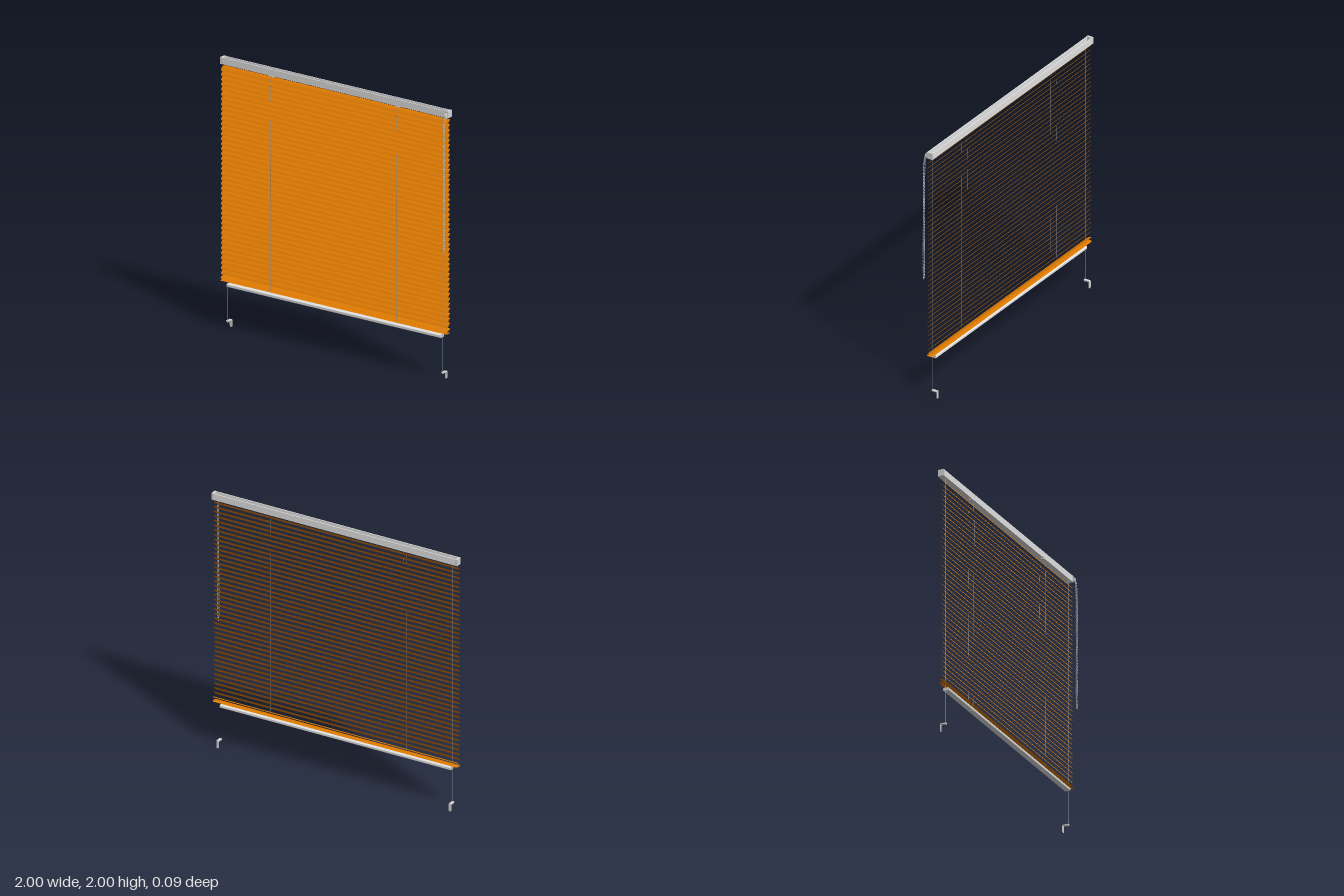
import * as THREE from 'three';
import { mergeGeometries } from 'three/addons/utils/BufferGeometryUtils.js';

export function createModel() {
  const root = new THREE.Group();
  root.name = 'venetianBlind';
  const material = (name, color, side = THREE.FrontSide) => {
    const m = new THREE.MeshStandardMaterial({ color, side });
    m.name = name;
    return m;
  };
  const orange = material('slatOrange', 0xe27c00, THREE.DoubleSide);
  const aluminium = material('aluminium', 0xe6e6e6);
  const plastic = material('greyPlastic', 0xd6d6d6);
  const cordGrey = material('cordGrey', 0x8a96a6);
  const chainGrey = material('chainGrey', 0xbcc3cb);

  const add = (name, geometry, mat, x = 0, y = 0, z = 0, parent = root) => {
    const mesh = new THREE.Mesh(geometry, mat);
    mesh.name = name;
    mesh.position.set(x, y, z);
    parent.add(mesh);
    return mesh;
  };
  const box = (name, mat, w, h, d, x, y, z, parent) =>
    add(name, new THREE.BoxGeometry(w, h, d), mat, x, y, z, parent);
  const curve = points => new THREE.CatmullRomCurve3(points.map(q => new THREE.Vector3(...q)));

  // Extrudes a (z, y) profile along x, centred
  const extrudeX = (points, length) => {
    const shape = new THREE.Shape(points.map(([z, y]) => new THREE.Vector2(-z, y)));
    return new THREE.ExtrudeGeometry(shape, { depth: length, bevelEnabled: false })
      .translate(0, 0, -length / 2).rotateY(Math.PI / 2);
  };

  // Head rail: open channel with inward lips
  add('headRail', extrudeX([
    [-0.034, 1.95], [0.012, 1.95], [0.012, 1.999], [0.006, 1.999], [0.006, 1.996],
    [0.009, 1.996], [0.009, 1.953], [-0.031, 1.953], [-0.031, 1.996], [-0.028, 1.996],
    [-0.028, 1.999], [-0.034, 1.999]], 1.97), aluminium);
  for (const s of [-1, 1]) box('endCap', plastic, 0.018, 0.05, 0.047, s * 0.991, 1.975, -0.011);

  // Slats: thin crowned strips with rounded ends
  const halfDepth = 0.0235, slatZ = -0.004;
  const slatGeometry = new THREE.PlaneGeometry(2, 2, 1, 10).rotateX(-Math.PI / 2);
  const p = slatGeometry.attributes.position;
  for (let i = 0; i < p.count; i++) {
    const v = p.getZ(i);
    const corner = Math.max(0, (Math.abs(v) - 0.5) / 0.5);
    const end = 0.997 - 0.011 * (1 - Math.sqrt(Math.max(0, 1 - corner * corner)));
    p.setXYZ(i, Math.sign(p.getX(i)) * end, 0.003 * (1 - v * v) - 0.0015, v * halfDepth);
  }
  slatGeometry.computeVertexNormals();
  const slats = new THREE.Group();
  slats.name = 'slats';
  root.add(slats);
  const count = 43, pitch = 0.0367, tilt = 0.81;
  for (let i = 0; i < count; i++) {
    const slat = add('slat', slatGeometry, orange, 0, 1.918 - i * pitch, slatZ, slats);
    slat.rotation.x = i === count - 1 ? 0.42 : tilt;
  }
  add('lowestSlat', slatGeometry, orange, 0, 0.352, slatZ, slats);

  // Bottom rail with chamfered edges and end caps
  const railProfile = [[-0.021, 0.314], [0.017, 0.314], [0.019, 0.318], [0.019, 0.332],
    [0.014, 0.337], [-0.018, 0.337], [-0.024, 0.332], [-0.024, 0.318]];
  add('bottomRail', extrudeX(railProfile, 1.864), aluminium);
  for (const s of [-1, 1]) add('bottomRailCap', extrudeX(railProfile, 0.006), plastic, s * 0.935);

  // Ladder cords, fine at the back, and their clips
  for (const s of [-1, 1]) {
    const x = s * 0.553;
    const ladder = new THREE.Group();
    ladder.name = 'ladderCords';
    root.add(ladder);
    for (const [side, z, radius] of [['front', 0.02, 0.0011], ['back', -0.023, 0.0005]]) {
      const path = curve([[x, 1.953, 0], [x, 1.925, z * 0.65], [x, 1.87, z], [x, 1.2, z],
        [x, 0.38, z], [x, 0.35, z * 0.9], [x, 0.334, z * 0.4]]);
      add(side + 'LadderCord', new THREE.TubeGeometry(path, 48, radius, 5), cordGrey, 0, 0, 0, ladder);
    }
    box('cordClip', plastic, 0.032, 0.008, 0.026, x, 1.947, 0.002, ladder);
    box('cordPlug', plastic, 0.02, 0.004, 0.018, x, 0.313, 0, ladder);
  }

  // Side guide wires with angled brackets at the foot
  for (const s of [-1, 1]) {
    const guide = new THREE.Group();
    guide.name = 'sideGuide';
    guide.position.x = s * 0.944;
    root.add(guide);
    add('guideWire', new THREE.CylinderGeometry(0.0018, 0.0018, 1.9, 8), cordGrey, 0, 1.003, -0.002, guide);
    box('bracketArm', plastic, 0.02, 0.008, 0.044, 0, 0.056, -0.019, guide);
    box('bracketPlate', plastic, 0.02, 0.046, 0.004, 0, 0.033, -0.041, guide);
    add('bracketFoot', new THREE.CylinderGeometry(0.01, 0.01, 0.004, 16, 1).rotateX(Math.PI / 2),
      plastic, 0, 0.01, -0.041, guide);
    add('wireStop', new THREE.CylinderGeometry(0.007, 0.007, 0.014, 12), plastic, 0, 0.054, -0.002, guide);
    add('bracketScrew', new THREE.CylinderGeometry(0.004, 0.004, 0.003, 10).rotateX(Math.PI / 2),
      aluminium, 0, 0.026, -0.038, guide);
  }

  // Chain outlet on the head rail
  add('chainOutlet', extrudeX([[0.012, 1.952], [0.028, 1.952], [0.034, 1.962],
    [0.03, 1.978], [0.012, 1.985]], 0.014), plastic, 0.989);

  // Looped bead chain
  const loop = curve([
    [0.982, 1.965, 0.026], [0.982, 1.93, 0.036], [0.983, 1.85, 0.04], [0.984, 1.45, 0.042],
    [0.984, 1.0, 0.043], [0.989, 0.96, 0.045], [0.994, 1.0, 0.046], [0.994, 1.45, 0.046],
    [0.994, 1.85, 0.043], [0.994, 1.93, 0.038], [0.994, 1.965, 0.028]]);
  const beads = loop.getSpacedPoints(170).map(q =>
    new THREE.SphereGeometry(0.0038, 8, 6).translate(q.x, q.y, q.z));
  add('chainBeads', mergeGeometries(beads), chainGrey);
  add('chainCord', new THREE.TubeGeometry(loop, 120, 0.0012, 5), chainGrey);

  return root;
}
